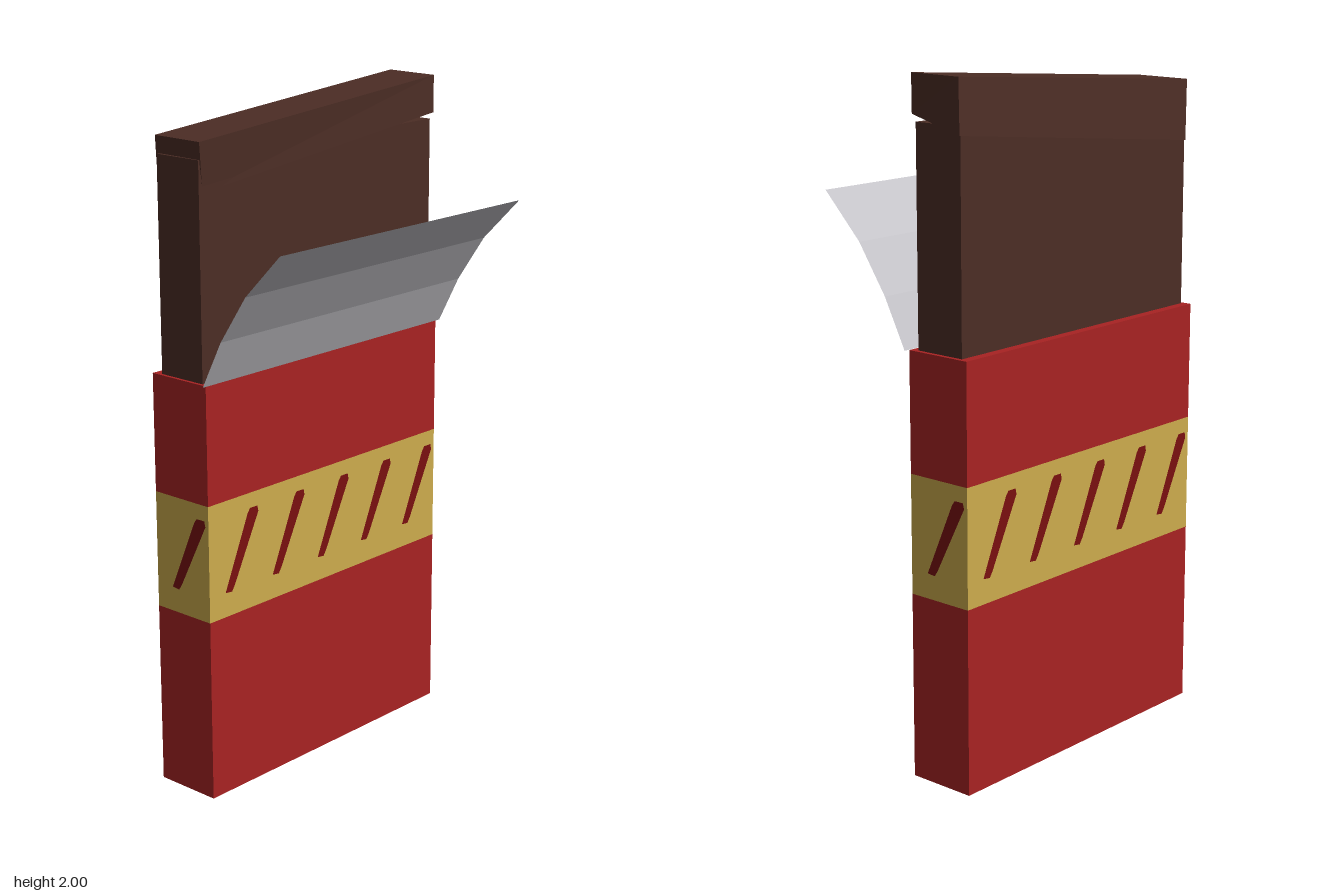
import * as THREE from 'three';

const mat = (name, color, side = THREE.FrontSide) => {
  const m = new THREE.MeshStandardMaterial({ color, side });
  m.name = name;
  return m;
};

export function createModel() {
  const red = mat('wrapper red', 0xa82323);
  const gold = mat('band gold', 0xcdac4d);
  const darkRed = mat('stripe dark red', 0x7a1010);
  const chocolate = mat('chocolate brown', 0x4c2d25);
  const foilGrey = mat('foil grey', 0xc4c3c8, THREE.DoubleSide);

  const model = new THREE.Group();
  model.name = 'chocolateBar';

  const add = (name, geometry, material, parent = model) => {
    const mesh = new THREE.Mesh(geometry, material);
    mesh.name = name;
    parent.add(mesh);
    return mesh;
  };
  // Box given by its limits
  const box = (name, material, [x0, x1], [y0, y1], [z0, z1]) => {
    const mesh = add(name, new THREE.BoxGeometry(x1 - x0, y1 - y0, z1 - z0), material);
    mesh.position.set((x0 + x1) / 2, (y0 + y1) / 2, (z0 + z1) / 2);
    return mesh;
  };

  // Wrapper: red sleeve with a gold band around it
  const X = [-0.5, 0.495], Z = [-0.255, -0.045];
  box('wrapperLower', red, X, [0, 0.55], Z);
  box('wrapperBand', gold, X, [0.55, 0.9], Z);
  box('wrapperUpper', red, X, [0.9, 1.25], Z);

  // Slanted stripes on all four sides of the band
  const stripe = new THREE.ShapeGeometry(new THREE.Shape([
    [-0.068, 0.625], [-0.042, 0.622], [-0.03, 0.64],
    [0.07, 0.838], [0.066, 0.855], [0.036, 0.855], [0.026, 0.842],
  ].map(([x, y]) => new THREE.Vector2(x, y))));
  const width = X[1] - X[0], depth = Z[1] - Z[0];
  for (let side = 0; side < 4; side++) {
    const wide = side % 2 === 0;
    const w = wide ? width : depth, out = (wide ? depth : width) / 2 + 0.002;
    const panel = new THREE.Group();
    panel.name = 'stripes' + ['Front', 'Left', 'Back', 'Right'][side];
    panel.position.set((X[0] + X[1]) / 2, 0, (Z[0] + Z[1]) / 2);
    panel.rotation.y = side * Math.PI / 2;
    for (let i = 0; i < (wide ? 5 : 1); i++) {
      add('stripe', stripe, darkRed, panel).position.set(-w / 2 + 0.13 + i * 0.195, 0, out);
    }
    model.add(panel);
  }

  // Chocolate standing out of the wrapper
  box('chocolate', chocolate, [-0.49, 0.482], [1.2, 1.87], [-0.227, -0.067]);

  // Skewed chocolate cap: a box with its eight corners moved
  const corners = {
    '-1,1,1': [-0.492, 1.92, -0.06], '1,1,1': [0.49, 2, -0.06],
    '1,1,-1': [0.497, 2, -0.235], '-1,1,-1': [-0.487, 1.92, -0.235],
    '-1,-1,1': [-0.475, 1.78, -0.068], '1,-1,1': [0.484, 1.89, -0.055],
    '1,-1,-1': [0.51, 1.85, -0.25], '-1,-1,-1': [-0.462, 1.745, -0.252],
  };
  const cap = new THREE.BoxGeometry(2, 2, 2);
  const cp = cap.attributes.position;
  for (let i = 0; i < cp.count; i++) {
    cp.setXYZ(i, ...corners[[cp.getX(i), cp.getY(i), cp.getZ(i)].join()]);
  }
  const capFlat = cap.toNonIndexed();
  capFlat.computeVertexNormals();
  add('chocolateCap', capFlat, chocolate);

  // Foil flap curling forward, in three flat bands (top row first)
  const profile = [[1.66, 0.253], [1.53, 0.125], [1.39, 0.03], [1.25, -0.042]];
  const flap = new THREE.PlaneGeometry(1.024, 1, 1, 3);
  const fp = flap.attributes.position;
  for (let i = 0; i < fp.count; i++) {
    const [y, z] = profile[Math.floor(i / 2)];
    fp.setXYZ(i, fp.getX(i) - 0.002, y, z);
  }
  const flapFlat = flap.toNonIndexed();
  flapFlat.computeVertexNormals();
  add('foilFlap', flapFlat, foilGrey);

  return model;
}
